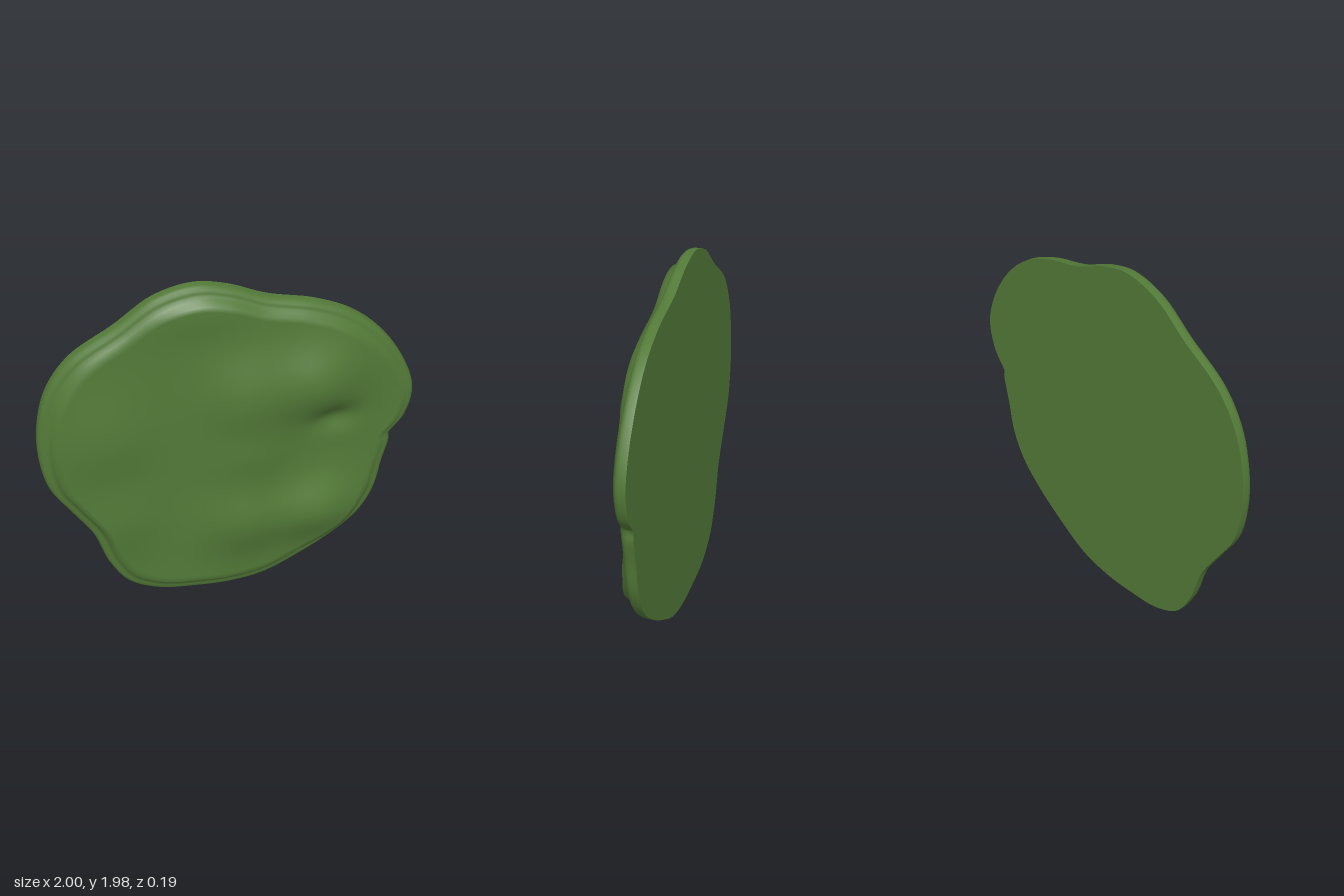
import * as THREE from 'three';

// Outline, clockwise from the top
const OUTLINE = [
  [-0.17, 1.98], [0, 1.95], [0.2, 1.87], [0.45, 1.81], [0.65, 1.72], [0.82, 1.57], [0.95, 1.37], [1, 1.2],
  [0.965, 1.04], [0.905, 0.96], [0.885, 0.935], [0.892, 0.9], [0.86, 0.75], [0.82, 0.55], [0.74, 0.4],
  [0.6, 0.27], [0.4, 0.14], [0.2, 0.04], [0, 0.005], [-0.2, 0.01], [-0.4, 0.035], [-0.57, 0.12],
  [-0.67, 0.27], [-0.75, 0.5], [-0.86, 0.68], [-0.96, 0.85], [-1, 1.08], [-0.98, 1.3], [-0.92, 1.48],
  [-0.8, 1.64], [-0.57, 1.79], [-0.37, 1.93],
];
const SEGMENTS = 200;

// Soft swellings and hollows of the front: x, y, height, radius x, radius y
const BUMPS = [
  [0.46, 0.53, 0.085, 0.24, 0.2],
  [0.06, 0.52, 0.07, 0.22, 0.24],
  [0.08, 1.32, 0.08, 0.24, 0.28],
  [0.46, 1.37, 0.085, 0.22, 0.22],
  [-0.66, 1.15, 0.045, 0.25, 0.3],
  [-0.6, 0.6, 0.03, 0.2, 0.25],
  [0.1, 0.93, 0.045, 0.25, 0.2],
  [0.56, 1.12, -0.04, 0.12, 0.08],
  [-0.1, 1.85, 0.02, 0.25, 0.15],
];

function relief(x, y) {
  let z = -0.003 - 0.02 * THREE.MathUtils.smoothstep(x, 0.55, 0.95);
  for (const [bx, by, h, rx, ry] of BUMPS) {
    z += h * Math.exp(-(((x - bx) / rx) ** 2) - ((y - by) / ry) ** 2);
  }
  return z;
}

// Surface through scaled copies of the outline; rings are [scale, z or null for relief]
function ringSurface(points, rings) {
  const positions = [], indices = [], n = points.length;
  for (const [s, z] of rings) {
    for (const p of points) {
      const x = p.x * s, y = 1 + (p.y - 1) * s;
      positions.push(x, y, z === null ? relief(x, y) : z);
    }
  }
  for (let i = 0; i < rings.length - 1; i++) {
    for (let j = 0; j < n; j++) {
      const k = (j + 1) % n;
      const a = i * n + j, b = i * n + k, c = a + n, d = b + n;
      if (rings[i][0] > 0) indices.push(a, c, b);
      if (rings[i + 1][0] > 0) indices.push(b, c, d);
      else if (rings[i][0] <= 0) continue;
    }
  }
  const geometry = new THREE.BufferGeometry();
  geometry.setAttribute('position', new THREE.Float32BufferAttribute(positions, 3));
  geometry.setIndex(indices);
  geometry.computeVertexNormals();
  return geometry;
}

export function createModel() {
  const group = new THREE.Group();
  group.name = 'flattenedBlob';
  const material = new THREE.MeshStandardMaterial({ color: 0x537a38 });
  const curve = new THREE.CatmullRomCurve3(
    OUTLINE.map(([x, y]) => new THREE.Vector3(x, y, 0)), true, 'centripetal');
  const points = curve.getSpacedPoints(SEGMENTS).slice(0, SEGMENTS);

  const add = (name, rings) => {
    const mesh = new THREE.Mesh(ringSurface(points, rings), material);
    mesh.name = name;
    group.add(mesh);
  };

  // Flat back
  add('back', [[0, -0.1], [1, -0.1]]);

  // Rounded rim, shallow step, then the uneven front
  const front = [[1, -0.1], [1, -0.065], [0.994, -0.048], [0.982, -0.037], [0.965, -0.034], [0.95, -0.03], [0.935, -0.018]];
  for (let i = 0; i <= 32; i++) front.push([0.915 * (1 - i / 32) + (i === 32 ? 0.0001 : 0), null]);
  add('rimAndFront', front);

  return group;
}
